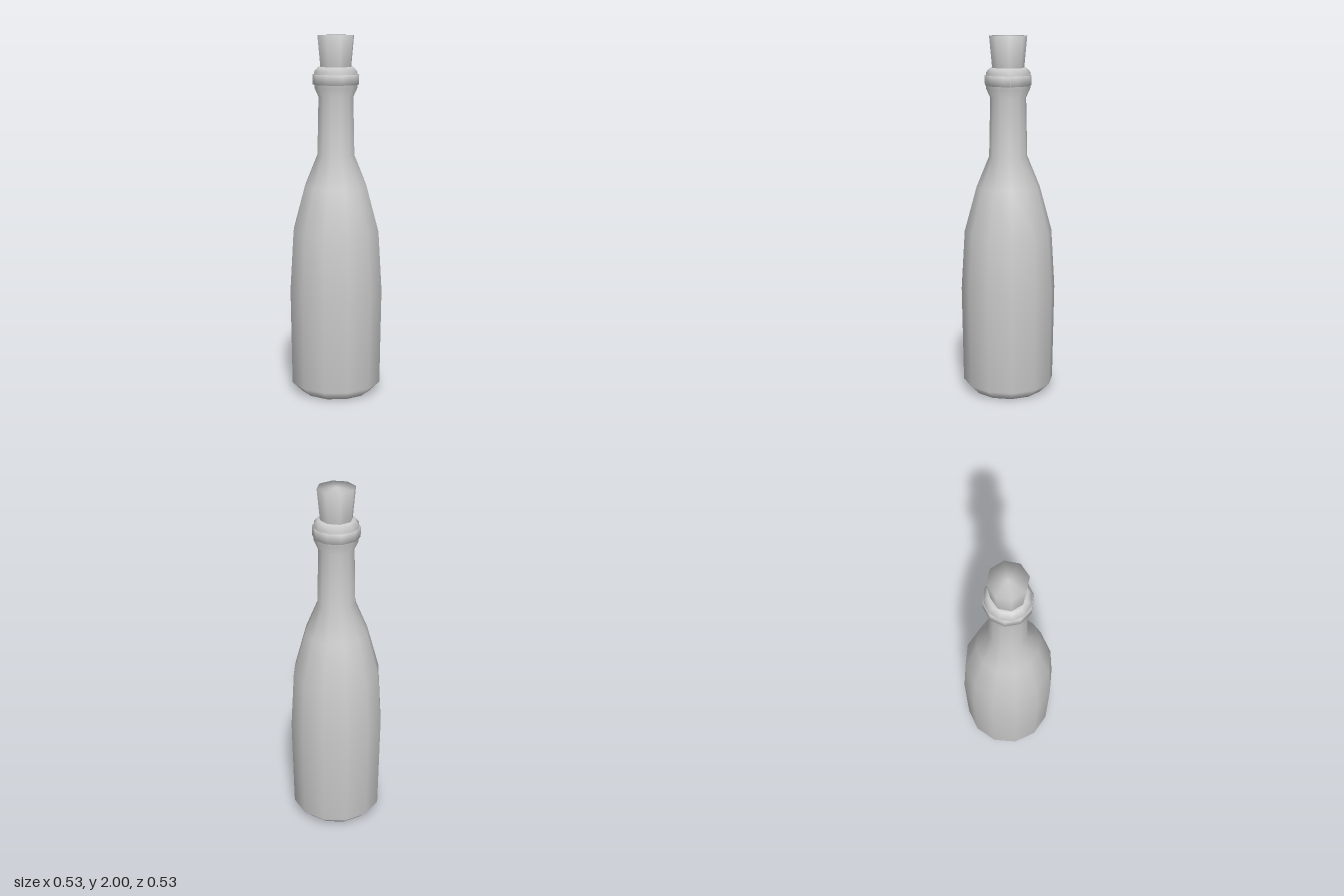
import * as THREE from 'three';

const material = new THREE.MeshStandardMaterial({ color: 0xcccccc });

// Smooth turned part from a bottom-to-top profile of [radius, height]
function turned(name, sides, profile) {
  const points = profile.map(([r, y]) => new THREE.Vector2(r, y));
  const mesh = new THREE.Mesh(new THREE.LatheGeometry(points, sides), material);
  mesh.name = name;
  return mesh;
}

export function createModel() {
  const group = new THREE.Group();
  group.name = 'corkedBottle';

  // Bottle: base, body, shoulder, neck and rounded lip
  group.add(turned('bottle', 12, [
    [0, 0.005], [0.2, 0.005], [0.255, 0.06], [0.263, 0.6], [0.243, 0.93],
    [0.175, 1.18], [0.105, 1.35], [0.098, 1.67], [0.121, 1.72],
    [0.121, 1.805], [0.099, 1.83], [0.07, 1.83],
  ]));

  // Band around the lip
  group.add(turned('lipBand', 10, [
    [0.1, 1.735], [0.127, 1.735], [0.127, 1.79], [0.1, 1.79],
  ]));

  // Tapered cork, pushed into the neck
  group.add(turned('cork', 8, [
    [0, 1.7], [0.075, 1.7], [0.103, 2], [0, 2],
  ]));

  return group;
}
